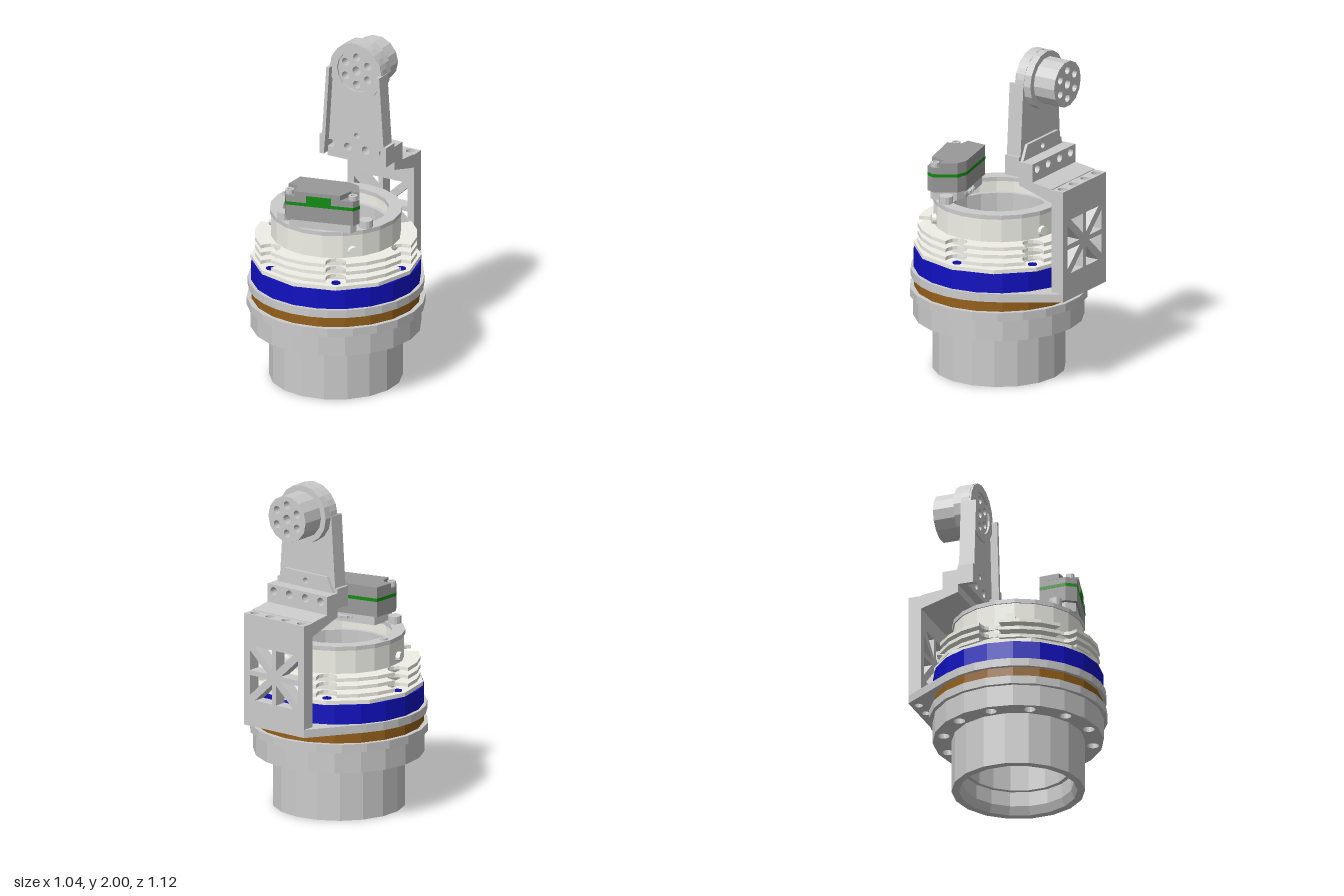
import * as THREE from 'three';

const mat = (color, side = THREE.FrontSide) => new THREE.MeshStandardMaterial({ color, flatShading: true, side });
const GREY = mat(0xcccccc), WHITE = mat(0xf0f0e8), DARK = mat(0x999999);
const BLUE = mat(0x1010c0), BROWN = mat(0x94601a), GREEN = mat(0x108a10);
const TAU = Math.PI * 2, STEP = Math.PI / 3;

function add(parent, name, geo, material, x = 0, y = 0, z = 0) {
  const m = new THREE.Mesh(geo, material);
  m.name = name;
  m.position.set(x, y, z);
  parent.add(m);
  return m;
}
const poly = pts => new THREE.Shape(pts.map(p => new THREE.Vector2(...p)));
const disc = r => new THREE.Shape().absarc(0, 0, r, 0, TAU, false);
function punch(shape, x, y, r) {
  shape.holes.push(new THREE.Path().absarc(x, y, r, 0, TAU, true));
  return shape;
}
// holes evenly spaced on a circle
function punchCircle(shape, n, radius, r, cx = 0, cy = 0, start = 0) {
  for (let i = 0; i < n; i++) {
    const a = start + i / n * TAU;
    punch(shape, cx + radius * Math.cos(a), cy + radius * Math.sin(a), r);
  }
  return shape;
}
const extrude = (shape, depth, seg = 10) =>
  new THREE.ExtrudeGeometry(shape, { depth, bevelEnabled: false, curveSegments: seg });
// horizontal slab between two heights; shape y points to the back
const slab = (shape, y0, y1, seg) => extrude(shape, y1 - y0, seg).rotateX(-Math.PI / 2).translate(0, y0, 0);
// upright slab between two depths
const upright = (shape, z0, z1, seg) => extrude(shape, z1 - z0, seg).translate(0, 0, z0);
// closed profile, listed outer bottom -> outer top -> inner top -> inner bottom
const lathe = (pts, n = 20) =>
  new THREE.LatheGeometry([...pts, pts[0]].map(p => new THREE.Vector2(...p)), n);
const ring = (r, inner, bolts = 6, hole = 0.024) => punchCircle(punch(disc(r), 0, 0, inner), bolts, 0.44, hole);

const ROW = [-0.175, -0.06, 0.06, 0.175];
const HEAD_Y = 1.825;

// ring with round notches around the six bolts
function notchedRing(r) {
  const s = new THREE.Shape(), d = 0.06 / r, pts = [];
  for (let k = 0; k < 6; k++) {
    const a = k * STEP, cx = 0.44 * Math.cos(a), cy = 0.44 * Math.sin(a);
    for (let i = 0; i <= 6; i++) {
      const t = a - Math.PI / 2 - i / 6 * Math.PI;
      pts.push([cx + 0.06 * Math.cos(t), cy + 0.06 * Math.sin(t)]);
    }
    for (let i = 0; i <= 3; i++) {
      const t = a + d + (STEP - 2 * d) * i / 3;
      pts.push([r * Math.cos(t), r * Math.sin(t)]);
    }
  }
  s.setFromPoints(pts.map(p => new THREE.Vector2(...p)));
  return punch(s, 0, 0, 0.34);
}

function buildBody() {
  const g = new THREE.Group();
  g.name = 'body';
  g.position.z = 0.04;
  // lower housing
  add(g, 'lowerTube', lathe([[0.39, 0], [0.39, 0.33], [0.3, 0.33], [0.3, 0.14], [0.325, 0.14], [0.325, 0.05], [0.345, 0]], 18), GREY);
  add(g, 'lowerFlange', slab(ring(0.5, 0.31, 12, 0.035), 0.32, 0.45), GREY);
  add(g, 'flangeLip', slab(ring(0.522, 0.31), 0.45, 0.5, 11), GREY);
  add(g, 'brownRing', slab(ring(0.495, 0.33), 0.5, 0.566), BROWN);
  add(g, 'innerSleeve', lathe([[0.34, 0.33], [0.34, 0.96], [0.3, 0.96], [0.3, 0.33]]), GREY);
  add(g, 'blueRing', slab(ring(0.497, 0.33), 0.615, 0.732), BLUE);

  // upper housing with cooling fins
  add(g, 'upperFlange', slab(ring(0.497, 0.33), 0.732, 0.756, 6), WHITE);
  add(g, 'upperHousing', lathe([[0.38, 0.75], [0.38, 1.03], [0.325, 1.03], [0.325, 0.75]]), WHITE);
  for (const y of [0.77, 0.82, 0.868]) add(g, 'coolingFin', slab(notchedRing(0.475), y, y + 0.021), WHITE);
  add(g, 'topRing', lathe([[0.388, 1.03], [0.388, 1.055], [0.31, 1.055], [0.31, 1.03]]), GREY);

  // bolt sleeves
  for (let k = 0; k < 6; k++) {
    const x = 0.44 * Math.cos(k * STEP), z = 0.44 * Math.sin(k * STEP);
    add(g, 'boltSleeve', lathe([[0.027, 0.6], [0.027, 0.762], [0.02, 0.762], [0.02, 0.6]], 14), BLUE, x, 0, z);
  }
  // screws on the side and on the top ring
  for (let k = 0; k < 3; k++) {
    const a = Math.PI / 4 + k * TAU / 3;
    const boss = add(g, 'sideScrew', new THREE.CylinderGeometry(0.028, 0.034, 0.05, 12).rotateX(Math.PI / 2),
      WHITE, 0.375 * Math.sin(a), 0.93, 0.375 * Math.cos(a));
    boss.rotation.y = a;
  }
  for (const [x, z] of [[-0.35, -0.02], [-0.175, 0.3], [0.3, 0.17]])
    add(g, 'topScrew', lathe([[0.023, 1.04], [0.023, 1.066], [0.012, 1.066], [0.012, 1.04]], 12), GREY, x, 0, z);

  // ring plate that carries the rear bracket
  const t = Math.atan2(0.6, 0.225) - Math.acos(0.515 / Math.hypot(0.6, 0.225));
  const plate = new THREE.Shape();
  plate.moveTo(0.225, 0.6).lineTo(-0.225, 0.6);
  plate.absarc(0, 0, 0.515, Math.PI - t, TAU + t, false);
  plate.closePath();
  punchCircle(punch(plate, 0, 0, 0.33), 6, 0.44, 0.024);
  ROW.forEach(x => punch(plate, x, 0.555, 0.026));
  add(g, 'bracketRing', slab(plate, 0.566, 0.615), GREY);
  return g;
}

function buildBracket() {
  const g = new THREE.Group();
  g.name = 'rearBracket';
  // lattice panel: four cells, each split by a diagonal
  const panel = poly([[-0.225, 0.61], [0.225, 0.61], [0.225, 1.2], [-0.225, 1.2]]);
  for (const sx of [-1, 1]) for (const sy of [-1, 1]) {
    const P = (x, y) => new THREE.Vector2(sx * x, 0.89 + sy * y);
    for (const tri of [[P(0.05, 0.015), P(0.18, 0.015), P(0.18, 0.135)], [P(0.015, 0.045), P(0.015, 0.165), P(0.145, 0.165)]])
      panel.holes.push(new THREE.Path(tri));
  }
  add(g, 'latticePanel', upright(panel, -0.56, -0.48), GREY);
  const cap = poly([[-0.225, 0.48], [0.225, 0.48], [0.225, 0.56], [-0.225, 0.56]]);
  ROW.forEach(x => punch(cap, x, 0.522, 0.027));
  add(g, 'panelCap', slab(cap, 1.2, 1.243), GREY);
  // sloping arm
  const arm = poly([[-0.48, 1.162], [-0.25, 1.23], [-0.25, 1.285], [-0.345, 1.263], [-0.48, 1.247]]);
  add(g, 'slopingArm', extrude(arm, 0.45).rotateY(-Math.PI / 2).translate(0.225, 0, 0), GREY);
  // drilled joint block
  const block = poly([[-0.225, 1.262], [0.225, 1.262], [0.225, 1.374], [-0.225, 1.374]]);
  ROW.forEach(x => punch(block, x, 1.335, 0.025));
  add(g, 'jointBlock', upright(block, -0.345, -0.25), GREY);
  const step = punch(poly([[-0.205, 1.374], [0.205, 1.374], [0.16, 1.464], [-0.16, 1.464]]), 0, 1.415, 0.018);
  add(g, 'jointStep', upright(step, -0.268, -0.25), GREY);

  // tower web
  const web = new THREE.Shape();
  web.moveTo(-0.225, 1.28).lineTo(0.225, 1.28).lineTo(0.225, 1.4).lineTo(0.207, 1.4).lineTo(0.175, HEAD_Y);
  web.absarc(0, HEAD_Y, 0.175, 0, Math.PI, false);
  web.lineTo(-0.207, 1.4).lineTo(-0.225, 1.4);
  ROW.forEach(x => punch(web, x, 1.335, 0.025));
  punch(web, 0, 1.415, 0.018);
  punch(punchCircle(web, 6, 0.086, 0.024, 0, HEAD_Y, Math.PI / 6), 0, HEAD_Y, 0.028);
  add(g, 'towerWeb', upright(web, -0.25, -0.2, 8), GREY);
  // side rails
  for (const s of [1, -1]) {
    let pts = [[0.195, 1.28], [0.225, 1.28], [0.225, 1.4], [0.207, 1.4], [0.178, 1.83], [0.158, 1.83], [0.185, 1.4]];
    if (s < 0) pts = pts.map(([x, y]) => [-x, y]).reverse();
    add(g, 'sideRail', upright(poly(pts), -0.25, -0.154), GREY);
  }
  // head collar and drilled motor
  add(g, 'headCollar', upright(punch(disc(0.175), 0, 0, 0.125), -0.297, -0.188, 8), GREY, 0, HEAD_Y);
  const motor = punch(punchCircle(disc(0.14), 6, 0.086, 0.024, 0, 0, Math.PI / 6), 0, 0, 0.028);
  add(g, 'motor', upright(motor, -0.44, -0.25, 7), GREY, 0, HEAD_Y);
  return g;
}

function buildSensor() {
  const g = new THREE.Group();
  g.name = 'sensorUnit';
  const outline = [[-0.1, 0.448], [0.29, 0.345], [0.307, 0.295], [0.233, 0.176], [0.165, 0.157], [-0.134, 0.225], [-0.14, 0.39]];
  // outline scaled about its middle, as a slab shape
  const shape = k => poly(outline.map(([x, z]) => [0.09 + (x - 0.09) * k, -(0.29 + (z - 0.29) * k)]));
  add(g, 'sensorFoot', slab(shape(0.9), 1.05, 1.11), GREY);
  add(g, 'sensorBase', slab(shape(1), 1.105, 1.197), DARK);
  add(g, 'circuitBoard', slab(shape(1.005), 1.197, 1.217), GREEN);
  add(g, 'sensorCover', slab(shape(1), 1.217, 1.255), DARK);
  // lid leaves room around the two screws
  const lid = poly([[-0.14, -0.35], [-0.075, -0.355], [-0.05, -0.435], [0.215, -0.365], [0.235, -0.27], [0.29, -0.265],
    [0.233, -0.176], [0.165, -0.157], [-0.134, -0.225]]);
  add(g, 'sensorLid', slab(lid, 1.25, 1.285), DARK);
  for (const [x, z] of [[-0.1, 0.405], [0.27, 0.307]])
    add(g, 'coverScrew', lathe([[0.026, 1.25], [0.026, 1.28], [0.014, 1.28], [0.014, 1.25]], 12), GREY, x, 0, z);
  // mounting ears
  for (const [x, z] of [[-0.175, 0.34], [0.3, 0.21]])
    add(g, 'mountingEar', new THREE.CylinderGeometry(0.04, 0.04, 0.045, 12), GREY, x, 1.077, z);
  // connector window
  const port = add(g, 'connector', new THREE.BoxGeometry(0.15, 0.045, 0.02), GREEN, 0.09, 1.24, 0.392);
  port.rotation.y = 0.26;
  // toothed wheel below the unit
  const teeth = [];
  for (let i = 0; i < 72; i++) {
    const a = i / 72 * TAU, r = i % 4 < 2 ? 0.105 : 0.096;
    teeth.push([r * Math.cos(a), r * Math.sin(a)]);
  }
  add(g, 'toothedWheel', slab(poly(teeth), 1.074, 1.088), GREY, 0.11, 0, 0.26);
  return g;
}

export function createModel() {
  const model = new THREE.Group();
  model.name = 'sensorTurret';
  model.add(buildBody(), buildBracket(), buildSensor());
  return model;
}
